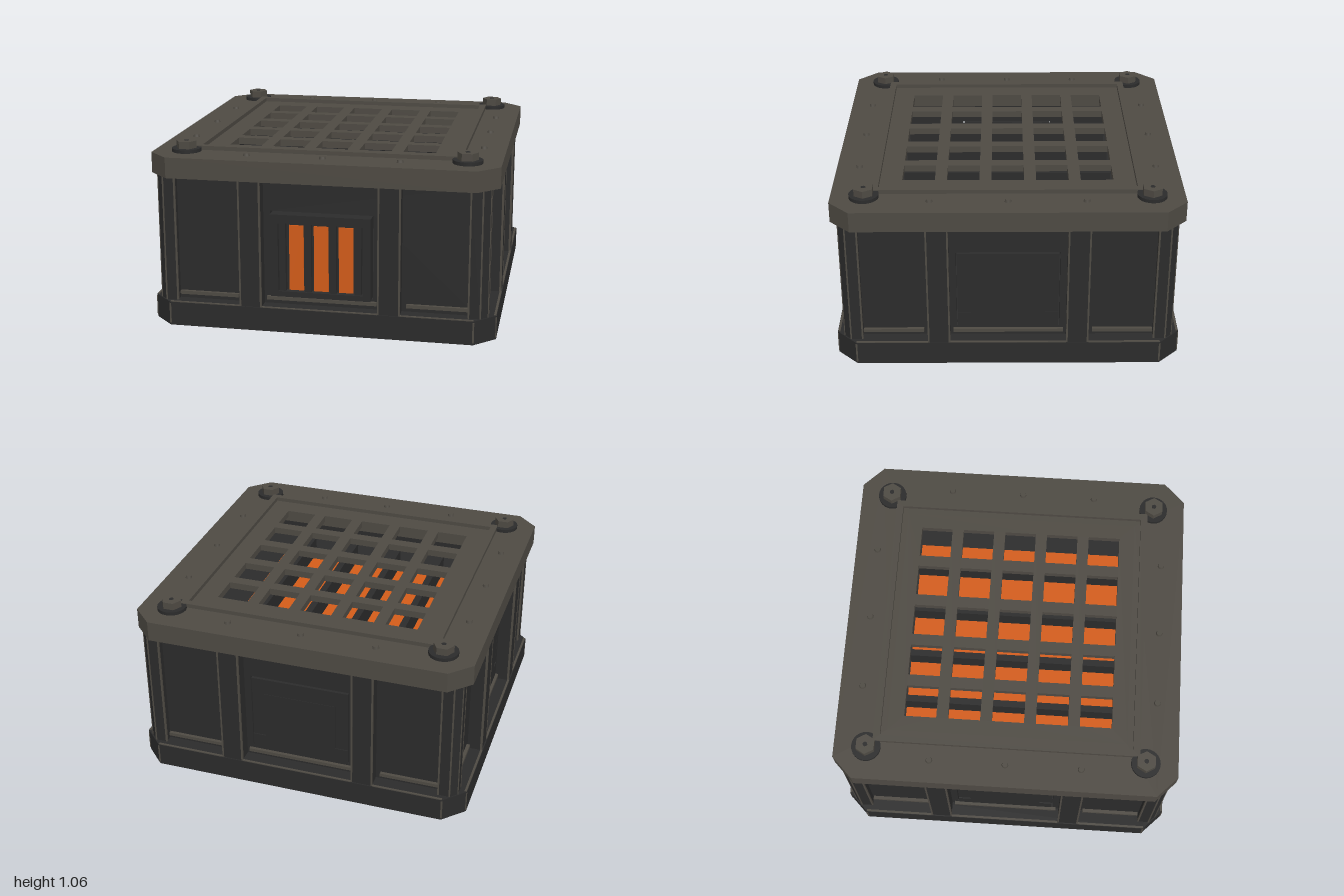
import * as THREE from 'three';

const mat = (name, color) => {
  const m = new THREE.MeshStandardMaterial({ color });
  m.name = name;
  return m;
};

export function createModel() {
  const dark = mat('charcoal steel', 0x2b2b2b);
  const warm = mat('warm grey steel', 0x4e4a43);
  const glow = mat('ember orange', 0xd35c19);
  const model = new THREE.Group();
  model.name = 'furnaceBlock';

  const add = (parent, name, geo, m) => {
    const mesh = new THREE.Mesh(geo, m);
    mesh.name = name;
    parent.add(mesh);
    return mesh;
  };
  // box given by its min and max on each axis
  const box = (parent, name, m, x0, x1, y0, y1, z0, z1) => {
    const b = add(parent, name, new THREE.BoxGeometry(x1 - x0, y1 - y0, z1 - z0), m);
    b.position.set((x0 + x1) / 2, (y0 + y1) / 2, (z0 + z1) / 2);
    return b;
  };
  const poly = (pts, C = THREE.Shape) => new C(pts.map(p => new THREE.Vector2(p[0], p[1])));
  const rect = (x0, x1, y0, y1, C) => poly([[x0, y0], [x1, y0], [x1, y1], [x0, y1]], C);
  const octagon = (h, c) => poly([[h - c, -h], [h, c - h], [h, h - c], [h - c, h],
    [c - h, h], [-h, h - c], [-h, c - h], [c - h, -h]]);
  // extrude a plan shape upwards from y0 to y1
  const slab = (shape, y0, y1) => new THREE.ExtrudeGeometry(shape, { depth: y1 - y0, bevelEnabled: false })
    .rotateX(-Math.PI / 2).translate(0, y0, 0);
  const faceted = (r0, r1, h, n) => {
    const g = new THREE.CylinderGeometry(r0, r1, h, n).toNonIndexed();
    g.computeVertexNormals();
    return g;
  };

  // Base plinth
  add(model, 'plinth', slab(octagon(1, 0.12), 0, 0.14), dark);

  // Lid: thick frame with a thinner grille plate set in it
  const frame = octagon(1, 0.12);
  frame.holes.push(rect(-0.7, 0.7, -0.7, 0.7, THREE.Path));
  add(model, 'lidFrame', slab(frame, 0.88, 1), warm);
  const grille = rect(-0.7, 0.7, -0.7, 0.7);
  for (let i = -2; i <= 2; i++) for (let j = -2; j <= 2; j++) {
    const x = i * 0.257, y = j * 0.257;
    grille.holes.push(rect(x - 0.094, x + 0.094, y - 0.094, y + 0.094, THREE.Path));
  }
  add(model, 'grille', slab(grille, 0.96, 1), warm);

  // Raised rim around the grille
  const rim = rect(-0.775, 0.775, -0.775, 0.775);
  rim.holes.push(rect(-0.735, 0.735, -0.735, 0.735, THREE.Path));
  add(model, 'lidRim', slab(rim, 0.995, 1.024), warm);

  // Corner bolts on washers
  for (const x of [-0.81, 0.81]) for (const z of [-0.81, 0.81]) {
    const bolt = new THREE.Group();
    bolt.name = 'cornerBolt';
    bolt.position.set(x, 1, z);
    add(bolt, 'washer', new THREE.CylinderGeometry(0.085, 0.085, 0.02, 24), dark).position.y = 0.01;
    const head = add(bolt, 'boltHead', faceted(0.06, 0.06, 0.044, 6), warm);
    head.position.y = 0.04;
    head.rotation.y = Math.PI / 6;
    add(bolt, 'boltSocket', new THREE.CylinderGeometry(0.014, 0.014, 0.004, 8), dark).position.y = 0.0615;
    model.add(bolt);
  }

  // Glowing bed on a tray, with dark rails above it
  box(model, 'bedTray', dark, -0.86, 0.86, 0.645, 0.684, -0.86, 0.86);
  box(model, 'glowBed', glow, -0.63, 0.63, 0.684, 0.694, -0.63, 0.63);
  for (const x of [-0.44, -0.147, 0.147, 0.44])
    box(model, 'bedRail', dark, x - 0.02, x + 0.02, 0.7, 0.82, -0.63, 0.63);

  // Four sides; the first one is the front with the glowing vent
  for (let k = 0; k < 4; k++) {
    const side = new THREE.Group();
    side.name = ['frontSide', 'leftSide', 'backSide', 'rightSide'][k];
    side.rotation.y = k * Math.PI / 2;
    model.add(side);

    const wall = rect(-0.9, 0.9, 0.13, 0.89);
    wall.holes.push(rect(-0.298, 0.298, 0.2, 0.694, THREE.Path));
    add(side, 'wall', new THREE.ExtrudeGeometry(wall, { depth: 0.04, bevelEnabled: false })
      .translate(0, 0, 0.865), dark);

    // Rivets along the lid edge
    for (const x of [-0.44, 0, 0.44])
      add(side, 'lidRivet', new THREE.CylinderGeometry(0.016, 0.02, 0.016, 12), warm).position.set(x, 1.007, 0.868);

    for (const s of [-1, 1]) {
      const strip = (name, m, a, b, ...r) => box(side, name, m, Math.min(s * a, s * b), Math.max(s * a, s * b), ...r);
      strip('pilaster', dark, 0.338, 0.462, 0.13, 0.89, 0.9, 0.993);
      // worn pilaster edges, panel ledges and sills
      strip('pilasterEdge', warm, 0.335, 0.345, 0.14, 0.88, 0.982, 0.995);
      strip('pilasterEdge', warm, 0.455, 0.465, 0.14, 0.88, 0.982, 0.995);
      strip('panelLedge', warm, 0.49, 0.84, 0.166, 0.186, 0.9, 0.925);
      strip('panelSill', warm, 0.465, 0.88, 0.134, 0.145, 0.985, 0.998);
      strip('plinthEdge', warm, 0.875, 0.885, 0.012, 0.132, 0.99, 1.001);
      // worn edges of the corner posts
      strip('postEdge', warm, 0.842, 0.852, 0.14, 0.88, 0.945, 0.957);
      strip('postEdge', warm, 0.909, 0.918, 0.14, 0.88, 0.946, 0.957);
    }
    box(side, 'panelSill', warm, -0.335, 0.335, 0.134, 0.145, 0.985, 0.998);
    box(side, 'panelLedge', warm, -0.32, 0.32, 0.166, 0.186, 0.9, 0.925);

    if (k === 0) {
      // Vent: frame, slats and glowing strips
      box(side, 'ventBack', dark, -0.29, 0.29, 0.198, 0.685, 0.865, 0.907);
      const vent = rect(-0.29, 0.29, 0.198, 0.685);
      vent.holes.push(rect(-0.245, 0.245, 0.23, 0.635, THREE.Path));
      add(side, 'ventFrame', new THREE.ExtrudeGeometry(vent, { depth: 0.05, bevelEnabled: false })
        .translate(0, 0, 0.9), dark);
      for (const x of [-0.222, -0.073, 0.072, 0.216])
        box(side, 'ventSlat', dark, x - 0.019, x + 0.019, 0.23, 0.635, 0.9, 0.94);
      for (const x of [-0.145, -0.001, 0.143])
        box(side, 'glowStrip', glow, x - 0.042, x + 0.042, 0.23, 0.617, 0.907, 0.915);
    } else {
      // Blank service hatch with a shallow band, foot and plate
      box(side, 'hatch', dark, -0.292, 0.292, 0.198, 0.685, 0.865, 0.905);
      box(side, 'hatchBand', dark, -0.292, 0.292, 0.587, 0.685, 0.9, 0.911);
      box(side, 'hatchFoot', dark, -0.292, 0.292, 0.198, 0.292, 0.9, 0.911);
      box(side, 'hatchPlate', dark, -0.215, 0.215, 0.292, 0.587, 0.9, 0.914);
    }

    // Corner post, set back under the chamfer
    const post = poly([[0.845, -0.845], [0.955, -0.845], [0.955, -0.915], [0.915, -0.955], [0.845, -0.955]]);
    add(side, 'cornerPost', slab(post, 0.13, 0.89), dark);
  }
  return model;
}
